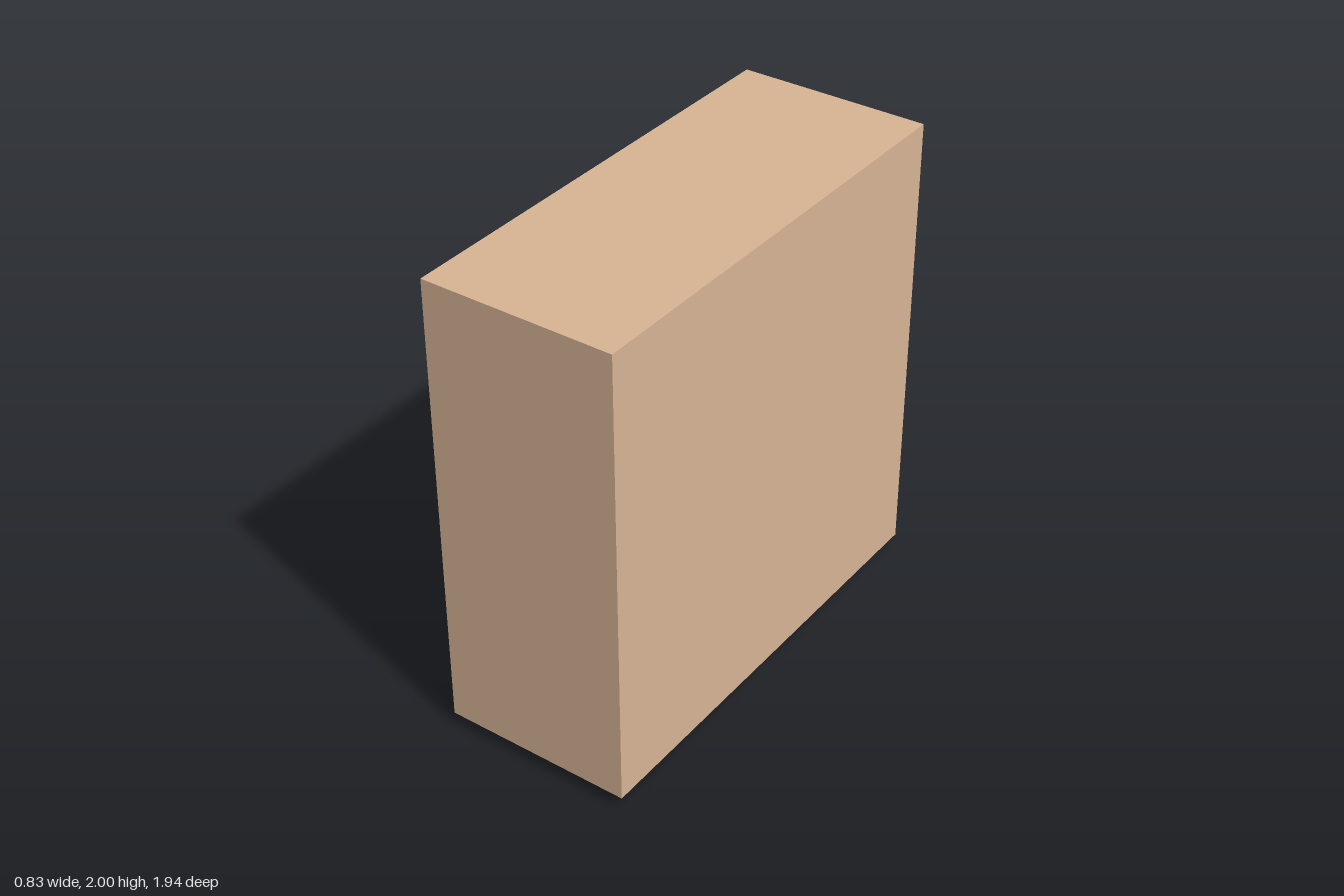
import * as THREE from 'three';

const mat = (color, extra = {}) => new THREE.MeshStandardMaterial({ color, ...extra });
const wood = mat(0xd8b595);
const green = mat(0xb4d412);
const pink = mat(0xda9a9e);
const grey = mat(0xa0a4a8);

// Outer limits of the carcass; its open side faces -x
const FRONT = -0.385, REAR = 0.415, BASE = 0.06, TOP = 2, HALF = 0.97;
const BACK = 0.375; // inner face of the back panel
const FLOOR = 0.115, CEIL = 1.94;
const BAYS = [[-0.933, -0.045], [0.056, 0.933]]; // z range of each bay

function add(parent, name, geometry, material) {
  const mesh = new THREE.Mesh(geometry, material);
  mesh.name = name;
  parent.add(mesh);
  return mesh;
}

// Box given by its limits on each axis
function block(parent, name, [x0, x1], [y0, y1], [z0, z1], material) {
  const g = new THREE.BoxGeometry(x1 - x0, y1 - y0, z1 - z0);
  g.translate((x0 + x1) / 2, (y0 + y1) / 2, (z0 + z1) / 2);
  return add(parent, name, g, material);
}

// Box whose corners are moved by a rule, then shaded flat
function reshaped(rule) {
  const g = new THREE.BoxGeometry(1, 1, 1).toNonIndexed();
  const p = g.attributes.position;
  for (let i = 0; i < p.count; i++) {
    p.setXYZ(i, ...rule(p.getX(i) > 0, p.getY(i) > 0, p.getZ(i) > 0));
  }
  g.computeVertexNormals();
  return g;
}

// Rectangle path in (-z, y), so a quarter turn sends the extrusion along +x
function rect(path, z0, z1, y0, y1) {
  path.moveTo(-z1, y0);
  path.lineTo(-z0, y0);
  path.lineTo(-z0, y1);
  path.lineTo(-z1, y1);
  path.closePath();
  return path;
}

function frame(outer, holes, x0, depth) {
  const shape = rect(new THREE.Shape(), ...outer);
  for (const h of holes) shape.holes.push(rect(new THREE.Path(), ...h));
  const g = new THREE.ExtrudeGeometry(shape, { depth, bevelEnabled: false });
  g.rotateY(Math.PI / 2);
  g.translate(x0, 0, 0);
  return g;
}

export function createModel() {
  const model = new THREE.Group();
  model.name = 'cabinet';

  // Carcass with two tall bays and a closed back
  add(model, 'carcass', frame([-HALF, HALF, BASE, TOP],
    BAYS.map(([a, b]) => [a, b, FLOOR, CEIL]), FRONT, BACK - FRONT), wood);
  block(model, 'backPanel', [BACK, REAR], [BASE, TOP], [-HALF, HALF], wood);

  // Two shelves in each bay
  for (const bay of BAYS) {
    for (const y of [0.59, 1.04]) {
      block(model, 'shelf', [FRONT, BACK], [y - 0.016, y], bay, wood);
    }
  }

  // Tapered plinth feet, one under each bay
  for (const s of [-1, 1]) {
    add(model, 'foot', reshaped((px, py, pz) => {
      const outward = pz === s > 0;
      const z = outward ? (py ? 0.937 : 0.917) : (py ? 0.053 : 0.115);
      const x = px ? (py ? REAR : 0.375) : (py ? FRONT : -0.345);
      return [x, py ? BASE : 0, s * z];
    }), wood);
  }

  // Drawer front, bevelled on the sides and the bottom
  add(model, 'drawerFront', reshaped((px, py, pz) => [
    px ? FRONT + 0.002 : -0.418,
    py ? 0.574 : (px ? 0.113 : 0.147),
    pz ? (px ? 0.935 : 0.9) : (px ? 0.052 : 0.088),
  ]), pink);

  // Half-width door: framed, with two recessed panels and a round knob
  const door = new THREE.Group();
  door.name = 'door';
  model.add(door);
  const z0 = 0.497, z1 = 0.933, y0 = 1.042, y1 = 1.939, rail = 0.03, mid = 1.49;
  add(door, 'doorFrame', frame([z0, z1, y0, y1], [
    [z0 + rail, z1 - rail, y0 + rail, mid - rail / 2],
    [z0 + rail, z1 - rail, mid + rail / 2, y1 - rail],
  ], FRONT, 0.025), green);
  block(door, 'doorPanel', [FRONT + 0.008, FRONT + 0.019],
    [y0 + 0.01, y1 - 0.01], [z0 + 0.01, z1 - 0.01], green);

  const profile = [[0, 0], [0.012, 0], [0.012, 0.009], [0.022, 0.012], [0.022, 0.021], [0, 0.023]];
  const knob = add(door, 'knob', new THREE.LatheGeometry(
    profile.map(([r, h]) => new THREE.Vector2(r, h)), 16),
    mat(0xb4d412, { flatShading: true }));
  knob.rotation.z = Math.PI / 2;
  knob.position.set(FRONT, mid, 0.527);

  // Book standing behind the door
  const book = new THREE.Group();
  book.name = 'book';
  model.add(book);
  for (const z of [0.88, 0.92]) {
    block(book, 'bookCover', [-0.21, -0.01], [1.04, 1.338], [z, z + 0.008], grey);
  }
  block(book, 'bookPages', [-0.205, -0.018], [1.045, 1.33], [0.888, 0.92], grey);

  return model;
}
